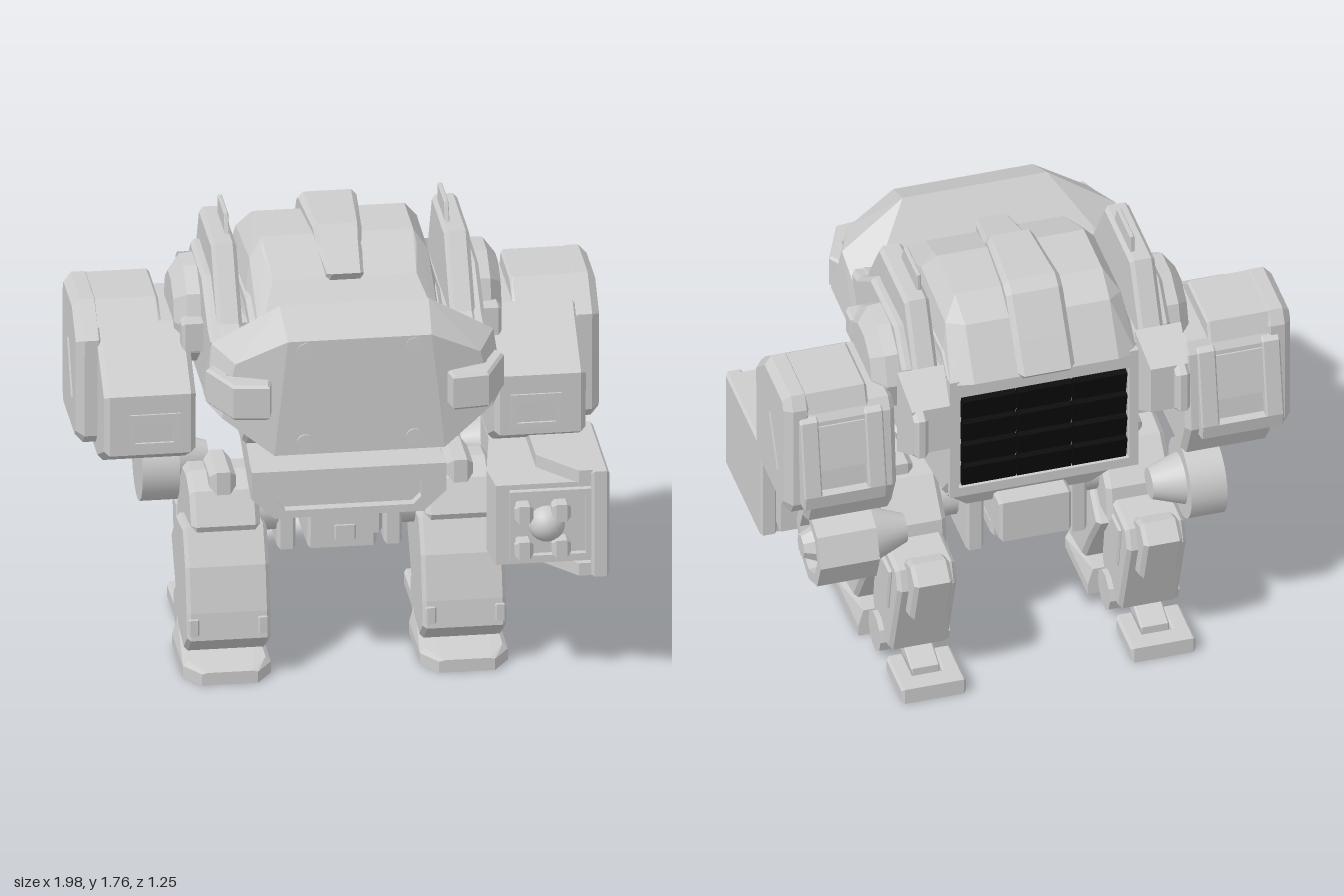
import * as THREE from 'three';
import { ConvexGeometry } from 'three/addons/geometries/ConvexGeometry.js';

const grey = new THREE.MeshStandardMaterial({ color: 0xcccccc });
grey.name = 'armour grey';
const black = new THREE.MeshStandardMaterial({ color: 0x0a0a0a });
black.name = 'grille black';

const V = (p) => new THREE.Vector3(...p);
const toShape = (pts) => new THREE.Shape(pts.map(([a, b]) => new THREE.Vector2(a, b)));

// Outline of [z, y] points extruded from x0 to x1 with chamfered edges
function slab(pts, x0, x1, b = 0.015, holes = []) {
  const shape = toShape(pts);
  shape.holes = holes.map(toShape);
  const g = new THREE.ExtrudeGeometry(shape, {
    depth: x1 - x0 - 2 * b, bevelEnabled: b > 0, bevelThickness: b, bevelSize: b, bevelOffset: -b, bevelSegments: 1,
  });
  return g.rotateY(-Math.PI / 2).translate(x1 - b, 0, 0);
}
// Outline of [x, y] points extruded from z0 to z1
function plate(pts, z0, z1, holes = []) {
  const shape = toShape(pts);
  shape.holes = holes.map(toShape);
  return new THREE.ExtrudeGeometry(shape, { depth: z1 - z0, bevelEnabled: false }).translate(0, 0, z0);
}
const rect = (a0, a1, b0, b1) => [[a0, b0], [a1, b0], [a1, b1], [a0, b1]];
const octagon = (r, z, y) => Array.from({ length: 8 }, (_, i) => [z + r * Math.cos(i * Math.PI / 4), y + r * Math.sin(i * Math.PI / 4)]);
const box = (x0, x1, y0, y1, z0, z1, b = 0.012) => slab(rect(z0, z1, y0, y1), x0, x1, b);
const hull = (pts) => new ConvexGeometry(pts.map(V));
const symHull = (pts) => hull(pts.flatMap(([x, y, z]) => [[x, y, z], [-x, y, z]]));
// Turned part along x: r0 at x0, r1 at x1, faceted when it has few sides
function drum(x0, x1, r0, r1, y, z, n) {
  let g = new THREE.CylinderGeometry(r1, r0, x1 - x0, n);
  if (n < 12) {
    g = g.toNonIndexed();
    g.computeVertexNormals();
  }
  return g.rotateZ(-Math.PI / 2).translate((x0 + x1) / 2, y, z);
}
// Reflected copy across x = 0 with the corner order restored
function mirrored(geo) {
  const g = geo.index ? geo.toNonIndexed() : geo.clone();
  g.scale(-1, 1, 1);
  for (const a of Object.values(g.attributes)) {
    const n = a.itemSize;
    for (let i = 0; i < a.count; i += 3) for (let k = 0; k < n; k++) {
      const p = (i + 1) * n + k, q = p + n, t = a.array[p];
      a.array[p] = a.array[q];
      a.array[q] = t;
    }
  }
  return g;
}

export function createModel() {
  const root = new THREE.Group();
  root.name = 'walkerRobot';
  const add = (name, geo, mat = grey) => {
    const m = new THREE.Mesh(geo, mat);
    m.name = name;
    root.add(m);
  };
  const pair = (name, geo) => {
    add(name + 'Left', geo);
    add(name + 'Right', mirrored(geo));
  };

  // Cockpit mask
  add('mask', symHull([
    [0.27, 1.51, 0.57], [0.46, 1.41, 0.52], [0.51, 1.19, 0.51], [0.32, 1.05, 0.565],
    [0.28, 1.59, 0.41], [0.53, 1.43, 0.36], [0.555, 1.22, 0.42], [0.53, 1.14, 0.14],
    [0.36, 1.01, 0.3], [0.36, 1.01, 0.14], [0.28, 1.43, 0.33], [0.52, 1.36, 0.29], [0.51, 1.3, 0.14],
  ]));
  for (const x of [-0.205, 0.205]) for (const y of [1.1, 1.47])
    add('maskBolt', new THREE.CylinderGeometry(0.032, 0.032, 0.008, 16).rotateX(Math.PI / 2).translate(x, y, 0.57));
  const podOutline = [[0.56, -0.43], [0.53, -0.38], [0.48, -0.4], [0.48, -0.5], [0.33, -0.56], [0.345, -0.625], [0.48, -0.61]];
  pair('cheekPod', new THREE.ExtrudeGeometry(toShape(podOutline), {
    depth: 0.12, bevelThickness: 0.01, bevelSize: 0.01, bevelOffset: -0.01, bevelSegments: 1,
  }).rotateX(-Math.PI / 2).translate(0, 1.23, 0));

  // Torso, top cowl and spine ridge
  add('torso', slab([[0.28, 1.42], [0.17, 1], [0, 0.86], [-0.4, 0.82], [-0.49, 0.92], [-0.49, 1.42], [-0.4, 1.5], [0.1, 1.5]], -0.365, 0.365));
  pair('torsoSide', slab([[0.16, 1.42], [0.14, 1.08], [-0.02, 1.03], [-0.38, 1.03], [-0.46, 1.08], [-0.46, 1.42]], 0.33, 0.48, 0.03));
  add('cowl', symHull([
    [0.34, 1.42, 0.3], [0.27, 1.58, 0.15], [0.29, 1.64, 0], [0.285, 1.67, -0.06], [0.285, 1.67, -0.3], [0.28, 1.61, -0.42],
    [0.28, 1.42, -0.54], [0.36, 1.4, -0.5], [0.34, 1.59, -0.36], [0.335, 1.6, -0.02], [0.375, 1.4, 0.08], [0.375, 1.4, -0.42],
  ]));
  const ridge = slab([[0.19, 1.61], [0, 1.66], [-0.05, 1.71], [-0.34, 1.72], [-0.39, 1.69], [-0.49, 1.54], [-0.56, 1.43],
    [-0.53, 1.4], [-0.4, 1.58], [0.12, 1.53]], -0.11, 0.11, 0.02);
  const rp = ridge.attributes.position;
  for (let i = 0; i < rp.count; i++)
    rp.setX(i, rp.getX(i) * (1 - 0.4 * THREE.MathUtils.clamp((rp.getZ(i) + 0.25) / 0.44, 0, 1)));
  ridge.computeVertexNormals();
  add('spineRidge', ridge);

  // Side arches, antenna blades and rear pods
  pair('sideArch', slab([[0.29, 1.4], [0.2, 1.435], [0.03, 1.69], [-0.32, 1.69], [-0.44, 1.45], [-0.44, 1.25], [0.2, 1.25]], 0.39, 0.485));
  pair('sidePlate', slab([[0.28, 1.4], [0.2, 1.425], [0.02, 1.56], [-0.3, 1.57], [-0.41, 1.44], [-0.43, 1.1], [0.15, 1.1]], 0.4, 0.52));
  pair('antennaBlade', slab([[-0.05, 1.68], [-0.085, 1.76], [-0.265, 1.76], [-0.265, 1.68]], 0.405, 0.422, 0.003));
  const pod = [];
  for (const [x, e] of [[0.37, 0], [0.55, 0], [0.39, 1], [0.535, 1]])
    pod.push([x, e ? 1.18 : 1.09, e ? -0.59 : -0.44], [x, e ? 1.38 : 1.46, e ? -0.59 : -0.44]);
  pair('rearPod', hull(pod));
  pair('rearPodRib', slab([[-0.45, 1.45], [-0.63, 1.36], [-0.63, 1.19], [-0.47, 1.1]], 0.48, 0.535));

  // Rear grille
  add('grilleFrame', plate(rect(-0.365, 0.365, 0.88, 1.42), -0.51, -0.48, [rect(-0.33, 0.33, 0.92, 1.345)]));
  for (let r = 0; r < 4; r++) for (let c = 0; c < 3; c++)
    add('grilleSlat', new THREE.BoxGeometry(0.209, 0.097, 0.03).rotateX(-0.2).translate((c - 1) * 0.214, 0.977 + r * 0.103, -0.5), black);

  // Shoulder joints
  pair('shoulderDome', drum(0.45, 0.57, 0.21, 0.2, 1.35, -0.18, 10));
  pair('shoulderCap', drum(0.57, 0.615, 0.2, 0.14, 1.35, -0.18, 10));
  pair('shoulderBracket', box(0.48, 0.6, 1.28, 1.39, 0, 0.08));

  // Upper arms
  pair('upperArm', slab([[0.175, 1.15], [-0.02, 1.3], [-0.07, 1.345], [-0.42, 1.345], [-0.45, 1.3], [-0.48, 0.97],
    [-0.41, 0.815], [-0.02, 0.815], [0.17, 0.91]], 0.56, 0.905, 0.02));
  pair('armOuterPlate', slab([[-0.02, 1.3], [-0.15, 1.415], [-0.41, 1.415], [-0.44, 1.36], [-0.44, 0.92], [-0.41, 0.87],
    [-0.07, 0.87], [-0.03, 0.91]], 0.87, 0.983, 0.03));
  pair('armTopPlate', slab([[-0.06, 1.335], [-0.15, 1.412], [-0.41, 1.412], [-0.44, 1.335]], 0.66, 0.93, 0.01));
  pair('armVent', plate(rect(0.62, 0.81, 0.94, 1.075), 0.165, 0.182, [rect(0.645, 0.79, 0.96, 1.04)]));
  for (const x of [0.61, 0.86])
    pair('armRearRail', slab([[-0.42, 1.33], [-0.46, 1.31], [-0.515, 1], [-0.505, 0.94], [-0.45, 0.93]], x, x + 0.07, 0.006));
  pair('armRearPanel', slab([[-0.42, 1.3], [-0.455, 1.28], [-0.49, 1.1], [-0.45, 1.08]], 0.67, 0.87, 0.004));
  pair('armRearBar', slab([[-0.45, 1], [-0.515, 1], [-0.505, 0.94], [-0.45, 0.93]], 0.67, 0.87, 0.004));
  pair('armTriangle', slab([[-0.13, 1.03], [-0.35, 1.03], [-0.24, 1.225]], 0.981, 0.99, 0,
    [[[-0.16, 1.047], [-0.32, 1.047], [-0.24, 1.19]]]));

  // Right elbow ends in a plain drum
  add('elbowDrumRight', drum(-0.71, -0.57, 0.155, 0.155, 0.66, -0.36, 24));
  add('elbowConeRight', drum(-0.57, -0.45, 0.1, 0.06, 0.66, -0.36, 24));

  // Left elbow carries the weapon on an octagonal drum with a recessed hub
  add('elbowConeLeft', drum(0.5, 0.64, 0.055, 0.11, 0.66, -0.36, 24));
  add('elbowDrumLeft', drum(0.64, 0.82, 0.16, 0.16, 0.66, -0.36, 8));
  add('elbowRingLeft', slab(octagon(0.16, -0.36, 0.66), 0.815, 0.87, 0, [octagon(0.115, -0.36, 0.66)]));
  add('elbowHubLeft', drum(0.82, 0.9, 0.08, 0.045, 0.66, -0.36, 8));
  add('weaponArm', box(0.57, 0.8, 0.53, 0.81, -0.3, 0.02));
  add('weaponBody', hull([0.5, 0.82].flatMap((y) =>
    [[0.57, y, -0.06], [0.57, y, 0.2], [0.515, y, 0.28], [0.53, y, 0.43], [0.89, y, 0.43], [0.89, y, -0.06]])));
  add('weaponShell', box(0.885, 0.952, 0.447, 0.873, 0, 0.468, 0.01));
  for (const [y0, y1] of [[0.447, 0.497], [0.823, 0.873]])
    add('weaponFlange', hull([y0, y1].flatMap((y) => [[0.7, y, 0.01], [0.7, y, 0.28], [0.84, y, 0.45], [0.92, y, 0.45], [0.92, y, 0.01]])));
  add('muzzleFrame', plate(rect(0.58, 0.885, 0.52, 0.8), 0.43, 0.455, [rect(0.6, 0.865, 0.54, 0.78)]));
  add('muzzleBall', new THREE.SphereGeometry(0.07, 20, 14).translate(0.72, 0.66, 0.43));
  for (const x of [0.63, 0.77]) for (const y of [0.575, 0.72])
    add('muzzleBarrel', box(x - 0.035, x + 0.035, y - 0.035, y + 0.035, 0.42, 0.49, 0.015));

  // Pelvis with slotted bumper and hanging plates
  add('pelvis', symHull([[0.365, 0.86, 0.24], [0.365, 0.74, 0.24], [0.28, 0.67, 0.24], [0.33, 0.86, -0.3], [0.33, 0.76, -0.34], [0.24, 0.67, -0.3]]));
  const slot = [[-0.25, 0.82], [-0.27, 0.79], [-0.27, 0.73], [-0.24, 0.7], [0.24, 0.7], [0.27, 0.73], [0.27, 0.79], [0.25, 0.82]];
  add('bumper', plate([[-0.365, 0.86], [-0.365, 0.75], [-0.28, 0.67], [0.28, 0.67], [0.365, 0.75], [0.365, 0.86]], 0.24, 0.28, [slot]));
  pair('hipPlate', box(0.165, 0.235, 0.43, 0.68, -0.28, 0.02));
  add('pelvisBlock', box(-0.14, 0.14, 0.54, 0.7, -0.22, 0.16));
  add('pelvisLowerBox', box(-0.13, 0.13, 0.455, 0.53, -0.25, 0.08));
  add('pelvisPost', box(-0.04, 0.04, 0.52, 0.58, -0.1, 0.17, 0.005));
  add('pelvisRearBox', box(-0.14, 0.14, 0.54, 0.72, -0.4, -0.2));

  // Hips and thighs
  pair('hipJoint', drum(0.2, 0.32, 0.1, 0.1, 0.58, -0.08, 16));
  pair('thigh', slab([[0.12, 0.58], [0.06, 0.7], [-0.04, 0.745], [-0.16, 0.73], [-0.28, 0.6], [-0.3, 0.45], [0.05, 0.42]], 0.31, 0.57, 0.02));
  pair('thighCap', box(0.395, 0.495, 0.69, 0.78, -0.14, 0.08, 0.025));

  // Lower legs
  pair('shinGuard', slab([[0.1, 0.575], [0.17, 0.44], [0.21, 0.27], [0.222, 0.165], [0.12, 0.085], [-0.04, 0.11],
    [-0.12, 0.24], [-0.24, 0.41], [-0.1, 0.55]], 0.285, 0.6, 0.015));
  for (const x of [0.295, 0.555])
    pair('shinClip', box(x, x + 0.04, 0.185, 0.25, 0.16, 0.228, 0.006));
  pair('calf', slab([[-0.19, 0.5], [-0.28, 0.55], [-0.46, 0.54], [-0.49, 0.46], [-0.37, 0.1], [-0.2, 0.08], [-0.14, 0.19]], 0.33, 0.56, 0.015));
  pair('calfPlate', slab([[-0.4, 0.54], [-0.45, 0.58], [-0.515, 0.6], [-0.58, 0.54], [-0.515, 0.34], [-0.44, 0.32]], 0.37, 0.52));
  pair('calfInset', slab([[-0.3, 0.5], [-0.41, 0.5], [-0.37, 0.3], [-0.26, 0.31]], 0.32, 0.572, 0.008));

  // Ankles and feet
  pair('ankle', drum(0.31, 0.58, 0.08, 0.08, 0.1, -0.24, 10));
  const foot = [];
  for (const [x, z] of [[0.28, -0.13], [0.61, -0.13], [0.28, 0.17], [0.61, 0.17], [0.34, 0.26], [0.55, 0.26]]) {
    const inset = x < 0.445 ? 0.02 : -0.02;
    foot.push([x, 0, z], [x, 0.045, z], [x + inset, z < 0 ? 0.115 : z < 0.2 ? 0.065 : 0.05, z]);
  }
  foot.push([0.31, 0.11, -0.04], [0.58, 0.11, -0.04]);
  pair('foot', hull(foot));
  pair('footBridge', box(0.36, 0.53, 0.03, 0.11, -0.24, -0.1));
  pair('heelArm', slab([[-0.26, 0.13], [-0.46, 0.065], [-0.46, 0.03], [-0.26, 0.05]], 0.39, 0.5, 0.006));
  for (const [x0, x1, z0, z1] of [[0.32, 0.39, -0.575, -0.36], [0.5, 0.57, -0.575, -0.36], [0.35, 0.54, -0.575, -0.5]])
    pair('heelPad', box(x0, x1, 0, 0.065, z0, z1, 0.01));

  return root;
}
